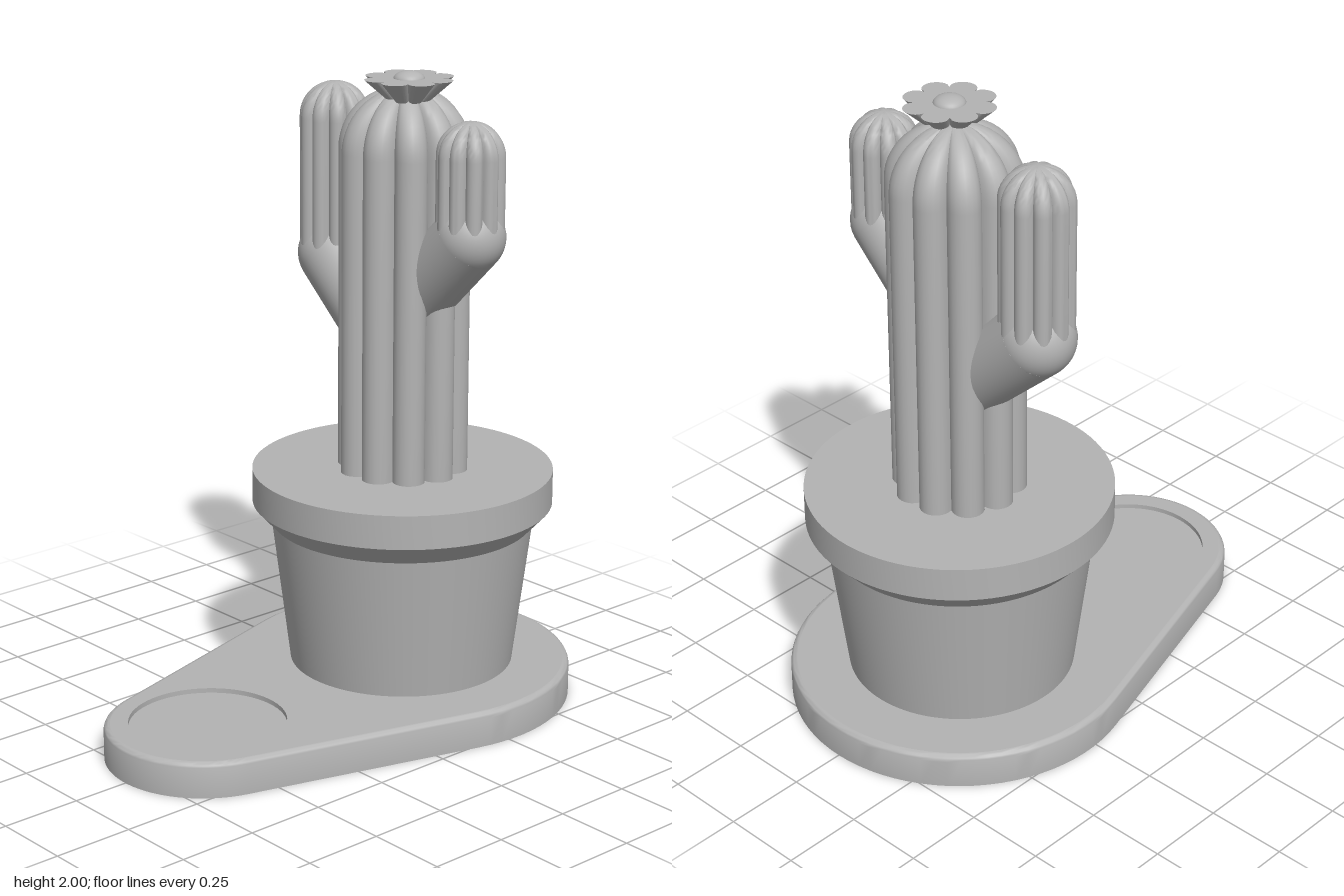
import * as THREE from 'three';
import { toCreasedNormals } from 'three/addons/utils/BufferGeometryUtils.js';

const clay = new THREE.MeshStandardMaterial({ color: 0xb3b3b3 });
clay.name = 'plain grey';

const CZ = -0.29;               // centre of pot and plant
const DISH_Z = 0.505, DISH_R = 0.24;

function add(parent, name, geometry, x = 0, y = 0, z = 0) {
  const mesh = new THREE.Mesh(geometry, clay);
  mesh.name = name;
  mesh.position.set(x, y, z);
  parent.add(mesh);
  return mesh;
}

// Skin between closed rings, bottom to top. Each ring: { y, pts } with pts = Vector2(x, -z), counter-clockwise.
function loft(rings, crease = 0.7) {
  const n = rings[0].pts.length, pos = [], idx = [];
  rings.forEach(({ y, pts }) => pts.forEach((p) => pos.push(p.x, y, -p.y)));
  for (let i = 0; i < rings.length - 1; i++) {
    for (let j = 0; j < n; j++) {
      const a = i * n + j, b = i * n + (j + 1) % n;
      idx.push(a, b, b + n, a, b + n, a + n);
    }
  }
  const g = new THREE.BufferGeometry();
  g.setAttribute('position', new THREE.Float32BufferAttribute(pos, 3));
  g.setIndex(idx);
  return toCreasedNormals(g, crease);
}

function lathe(points, segments = 96) {
  const g = new THREE.LatheGeometry(points.map(([r, y]) => new THREE.Vector2(r, y)), segments);
  return toCreasedNormals(g, 0.4);
}

// Flat face facing up or down, with an optional hole
function cap(pts, hole, up) {
  const flip = (p) => new THREE.Vector2(p.x, up ? p.y : -p.y);
  const shape = new THREE.Shape(pts.map(flip));
  if (hole) shape.holes.push(new THREE.Path(hole.map(flip)));
  return new THREE.ShapeGeometry(shape).rotateX(up ? -Math.PI / 2 : Math.PI / 2);
}

// Two different circles joined by their tangents, shrunk by inset
function baseOutline(inset) {
  const pts = [], tilt = Math.asin(0.28), n = 48;
  const arc = (cy, r, from, to) => {
    for (let i = 0; i <= n; i++) {
      const a = from + (to - from) * i / n;
      pts.push(new THREE.Vector2(Math.cos(a) * r, cy + Math.sin(a) * r));
    }
  };
  arc(-CZ, 0.535 - inset, -tilt, Math.PI + tilt);
  arc(-0.51, 0.31 - inset, Math.PI + tilt, 2 * Math.PI - tilt);
  return pts;
}

// Ring of ten touching half-round ribs, overall radius 0.205
function ribRing(scale) {
  const pts = [], steps = 10;
  for (let k = 0; k < 10; k++) {
    const a = k * Math.PI / 5;
    for (let i = 0; i < steps; i++) {
      const b = a + (i / steps - 0.5) * Math.PI * 1.01;
      pts.push(new THREE.Vector2(
        scale * (0.155 * Math.cos(a) + 0.05 * Math.cos(b)),
        scale * (0.155 * Math.sin(a) + 0.05 * Math.sin(b))));
    }
  }
  return pts;
}

// Ribbed column with a rounded top
function ribbedColumn(radius, bottom, top, domeHeight) {
  const s = radius / 0.205, steps = 14;
  const rings = [{ y: bottom, pts: ribRing(s) }];
  for (let i = 0; i <= steps; i++) {
    const t = i / steps * Math.PI / 2;
    rings.push({
      y: top - domeHeight + domeHeight * Math.sin(t),
      pts: ribRing(s * Math.max(Math.cos(t), 0.001)),
    });
  }
  return loft(rings, 0.8);
}

function makeBase() {
  const base = new THREE.Group();
  base.name = 'base';
  const H = 0.11, F = 0.02;
  const rings = [{ y: 0, pts: baseOutline(0) }];
  for (let i = 0; i <= 5; i++) {
    const t = i / 5 * Math.PI / 2;
    rings.push({ y: H - F + F * Math.sin(t), pts: baseOutline(F * (1 - Math.cos(t))) });
  }
  const hole = [];
  for (let i = 0; i < 64; i++) {
    const a = i / 64 * Math.PI * 2;
    hole.push(new THREE.Vector2(Math.cos(a) * DISH_R, -DISH_Z + Math.sin(a) * DISH_R));
  }
  add(base, 'baseEdge', loft(rings));
  add(base, 'baseTop', cap(baseOutline(F), hole, true), 0, H, 0);
  add(base, 'baseUnderside', cap(baseOutline(0), hole, false));
  // shallow dish above, deeper recess below
  add(base, 'dish', lathe([[DISH_R, H], [DISH_R, 0.095], [0, 0.095]], 64), 0, 0, DISH_Z);
  add(base, 'undersideRecess', lathe([[0, 0.08], [DISH_R, 0.08], [DISH_R, 0]], 64), 0, 0, DISH_Z);
  return base;
}

// Side branch: slanted tube, rounded elbow, ribbed upright
function makeArm(name, x, elbowY, top, radius, tubeRadius, direction) {
  const arm = new THREE.Group();
  arm.name = name;
  const dir = new THREE.Vector3(...direction).normalize();
  const length = Math.abs(x) / Math.abs(dir.x) * 0.85;
  add(arm, 'elbow', new THREE.SphereGeometry(tubeRadius, 40, 24), x, elbowY, 0);
  const tube = add(arm, 'branch', new THREE.CylinderGeometry(tubeRadius, tubeRadius, length, 40),
    x + dir.x * length / 2, elbowY + dir.y * length / 2, 0);
  tube.quaternion.setFromUnitVectors(new THREE.Vector3(0, 1, 0), dir);
  add(arm, 'upright', ribbedColumn(radius, elbowY, top, radius), x, 0, 0);
  return arm;
}

// Eight-petal flower, flat above and tapering below
function makeFlower() {
  const flower = new THREE.Group();
  flower.name = 'flower';
  const petals = (r) => {
    const pts = [];
    for (let i = 0; i < 128; i++) {
      const a = i / 128 * Math.PI * 2;
      const k = r * (0.72 + 0.28 * Math.sqrt(Math.abs(Math.sin(a * 4))));
      pts.push(new THREE.Vector2(Math.cos(a) * k, Math.sin(a) * k));
    }
    return pts;
  };
  add(flower, 'petals', loft([{ y: 1.912, pts: petals(0.065) }, { y: 1.978, pts: petals(0.14) }]));
  add(flower, 'petalTop', cap(petals(0.14), null, true), 0, 1.978, 0);
  add(flower, 'petalUnderside', cap(petals(0.065), null, false), 0, 1.912, 0);
  add(flower, 'flowerCentre', new THREE.SphereGeometry(0.048, 32, 20).scale(1, 0.55, 1), 0, 1.974, 0);
  flower.position.set(0.044, 0, 0.026);
  return flower;
}

export function createModel() {
  const model = new THREE.Group();
  model.name = 'pottedCactus';
  model.add(makeBase());

  add(model, 'pot', lathe([[0, 0.105], [0.352, 0.105], [0.41, 0.57], [0.47, 0.635],
    [0.47, 0.742], [0, 0.742]]), 0, 0, CZ);

  const cactus = new THREE.Group();
  cactus.name = 'cactus';
  cactus.position.z = CZ;
  add(cactus, 'trunk', ribbedColumn(0.205, 0.73, 1.945, 0.195));
  cactus.add(makeArm('rightArm', -0.318, 1.37, 1.915, 0.112, 0.117, [0.745, -0.67, 0]));
  cactus.add(makeArm('leftArm', 0.285, 1.53, 1.88, 0.105, 0.109, [-0.71, -0.7, 0]));
  cactus.add(makeFlower());
  model.add(cactus);
  return model;
}
